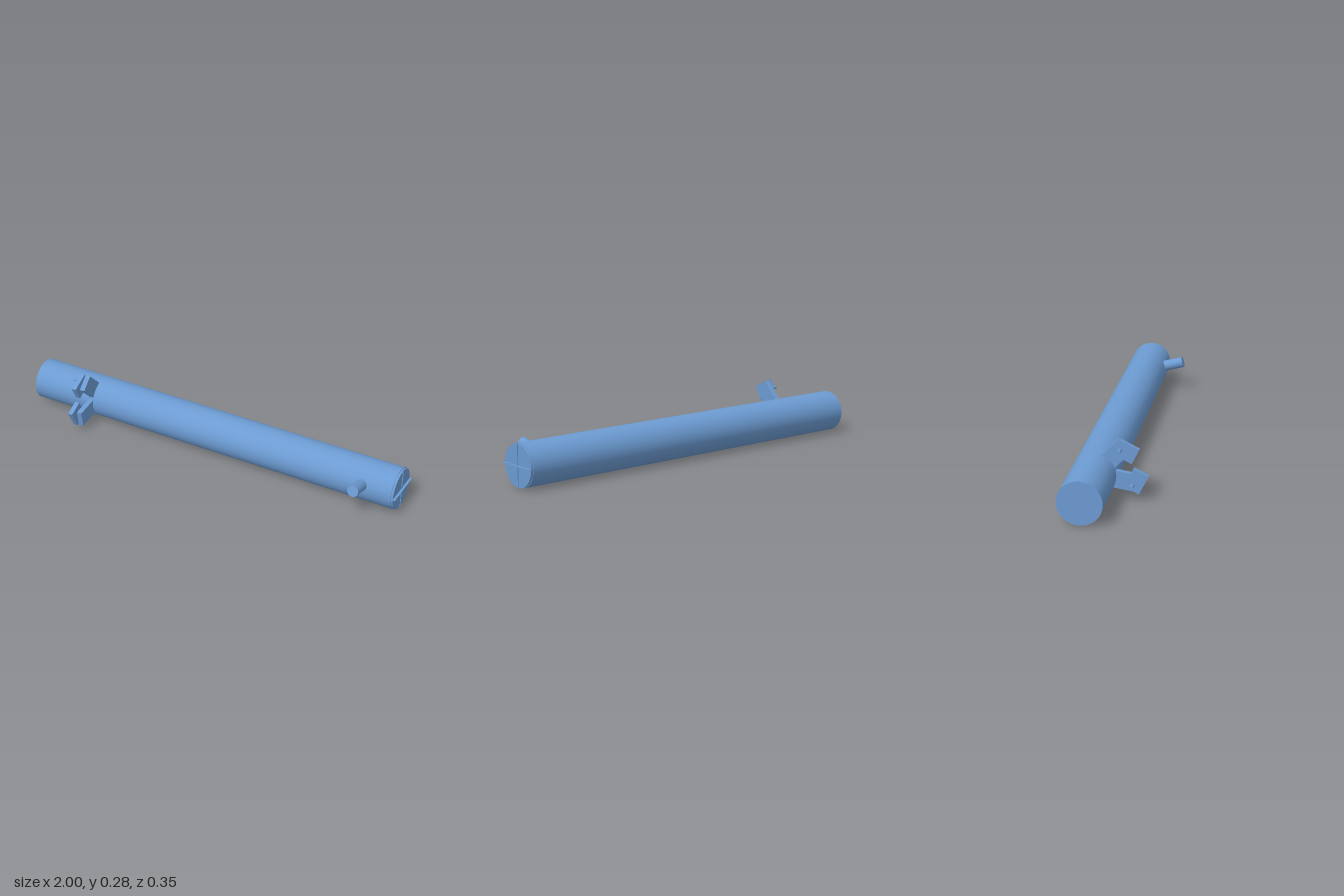
import * as THREE from 'three';

export function createModel() {
  const model = new THREE.Group();
  const blue = new THREE.MeshStandardMaterial({ color: 0x6c9bd2 });
  blue.name = 'steel blue';

  // tube axis, in the y-z plane
  const CY = 0.103, CZ = -0.074, R = 0.102;

  const add = (name, geometry, x, y, z, parent = model) => {
    const mesh = new THREE.Mesh(geometry, blue);
    mesh.name = name;
    mesh.position.set(x, y, z);
    parent.add(mesh);
    return mesh;
  };
  const box = (name, x0, x1, h, d, y, z, tilt = 0) => {
    const mesh = add(name, new THREE.BoxGeometry(x1 - x0, h, d), (x0 + x1) / 2, y, z);
    mesh.rotation.x = -tilt; // positive tilt lifts the front end
    return mesh;
  };
  const rodX = (name, x0, x1, r, y, z, sides) => {
    const mesh = add(name, new THREE.CylinderGeometry(r, r, x1 - x0, sides), (x0 + x1) / 2, y, z);
    mesh.rotation.z = -Math.PI / 2;
    return mesh;
  };

  // long tube with a slightly smaller end cap
  rodX('tube', -1, 0.977, R, CY, CZ, 32);
  rodX('endCap', 0.975, 0.988, R - 0.003, CY, CZ, 32);

  // crossed ribs on the end cap
  box('verticalRib', 0.98, 0.992, 2 * R - 0.002, 0.003, CY, CZ);
  box('horizontalRib', 0.98, 1, 0.003, 2 * R - 0.002, CY, CZ);
  box('ribTab', 0.985, 1, 0.006, 0.021, CY, -0.002);

  // side outlet, pointing forward and slightly up
  const outlet = new THREE.Group();
  outlet.name = 'outlet';
  outlet.position.set(0.826, CY, CZ);
  outlet.rotation.x = -0.263;
  model.add(outlet);
  const pipe = add('outletPipe', new THREE.CylinderGeometry(0.0275, 0.0275, 0.13, 24), 0, 0, 0.135, outlet);
  pipe.rotation.x = Math.PI / 2;

  // two brackets: radial arm, tilted plate and a pin
  const brackets = [
    { angle: 0.804, plate: [0.230, 0.074], size: [0.075, 0.097], pin: [0.24, 0.05] },
    { angle: -0.157, plate: [0.092, 0.121], size: [0.097, 0.075], pin: [0.075, 0.105] },
  ];
  for (const { angle, plate, size, pin } of brackets) {
    const mid = 0.145, len = 0.12;
    box('bracketArm', -0.676, -0.65, 0.081, len,
      CY + mid * Math.sin(angle), CZ + mid * Math.cos(angle), angle);
    box('bracketPlate', -0.7, -0.676, size[0], size[1], plate[0], plate[1], -0.46);
    rodX('bracketPin', -0.738, -0.69, 0.008, pin[0], pin[1], 12);
  }
  return model;
}
